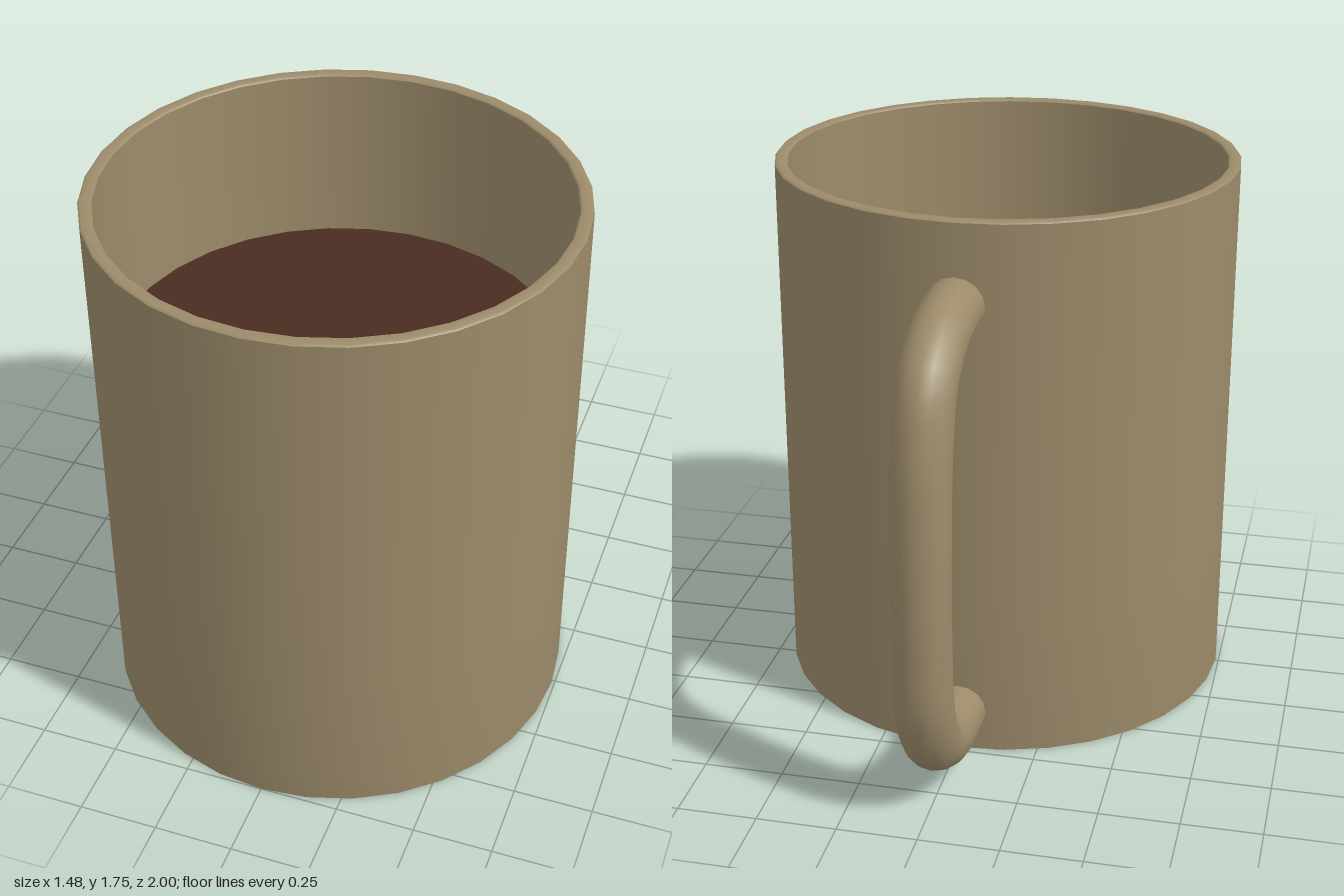
import * as THREE from 'three';

const SIDES = 32;
const RADIUS = 0.74, INNER = 0.7, HEIGHT = 1.75, DRINK_LEVEL = 1.175;
const CENTRE_Z = 0.26; // the cup sits forward to balance the handle

export function createModel() {
  const model = new THREE.Group();
  model.name = 'mug';
  const clay = new THREE.MeshStandardMaterial({ color: 0x9c8b6a });
  const drink = new THREE.MeshStandardMaterial({ color: 0x4a2c21 });

  const add = (name, geometry, material, parent) => {
    const mesh = new THREE.Mesh(geometry, material);
    mesh.name = name;
    parent.add(mesh);
    return mesh;
  };
  const lathe = (points) =>
    new THREE.LatheGeometry(points.map(([r, y]) => new THREE.Vector2(r, y)), SIDES);

  const cup = new THREE.Group();
  cup.name = 'cup';
  cup.position.z = CENTRE_Z;
  model.add(cup);

  // Outer wall, softly shaded towards the foot
  add('outerWall', lathe([
    [RADIUS - 0.02, 0], [RADIUS, 0], [RADIUS, 0.5], [RADIUS, HEIGHT - 0.006],
  ]), clay, cup);

  // Rim with slightly eased edges
  add('rim', lathe([
    [RADIUS, HEIGHT - 0.006], [RADIUS - 0.006, HEIGHT],
    [INNER + 0.006, HEIGHT], [INNER, HEIGHT - 0.006],
  ]), clay, cup);

  // Inner wall, running down to the inside floor
  add('innerWall', lathe([[INNER, HEIGHT - 0.006], [INNER, 0.05]]), clay, cup);
  const disc = (name, radius, y, facing, material) => {
    const mesh = add(name, new THREE.CircleGeometry(radius, SIDES), material, cup);
    mesh.rotation.x = -facing * Math.PI / 2;
    mesh.position.y = y;
  };
  disc('innerFloor', INNER, 0.05, 1, clay);
  disc('base', RADIUS - 0.02, 0, -1, clay);
  disc('drink', INNER, DRINK_LEVEL, 1, drink);

  // Handle: round tube along a rounded D, with its ends sunk into the wall
  const path = new THREE.CatmullRomCurve3([
    [1.49, -0.46], [1.49, -0.55], [1.46, -0.7], [1.375, -0.82], [1.2, -0.88],
    [0.95, -0.906], [0.6, -0.91], [0.38, -0.888], [0.225, -0.8],
    [0.15, -0.66], [0.135, -0.53], [0.135, -0.46],
  ].map(([y, z]) => new THREE.Vector3(0, y, z)));
  add('handle', new THREE.TubeGeometry(path, 48, 0.09, 16), clay, model);

  return model;
}
